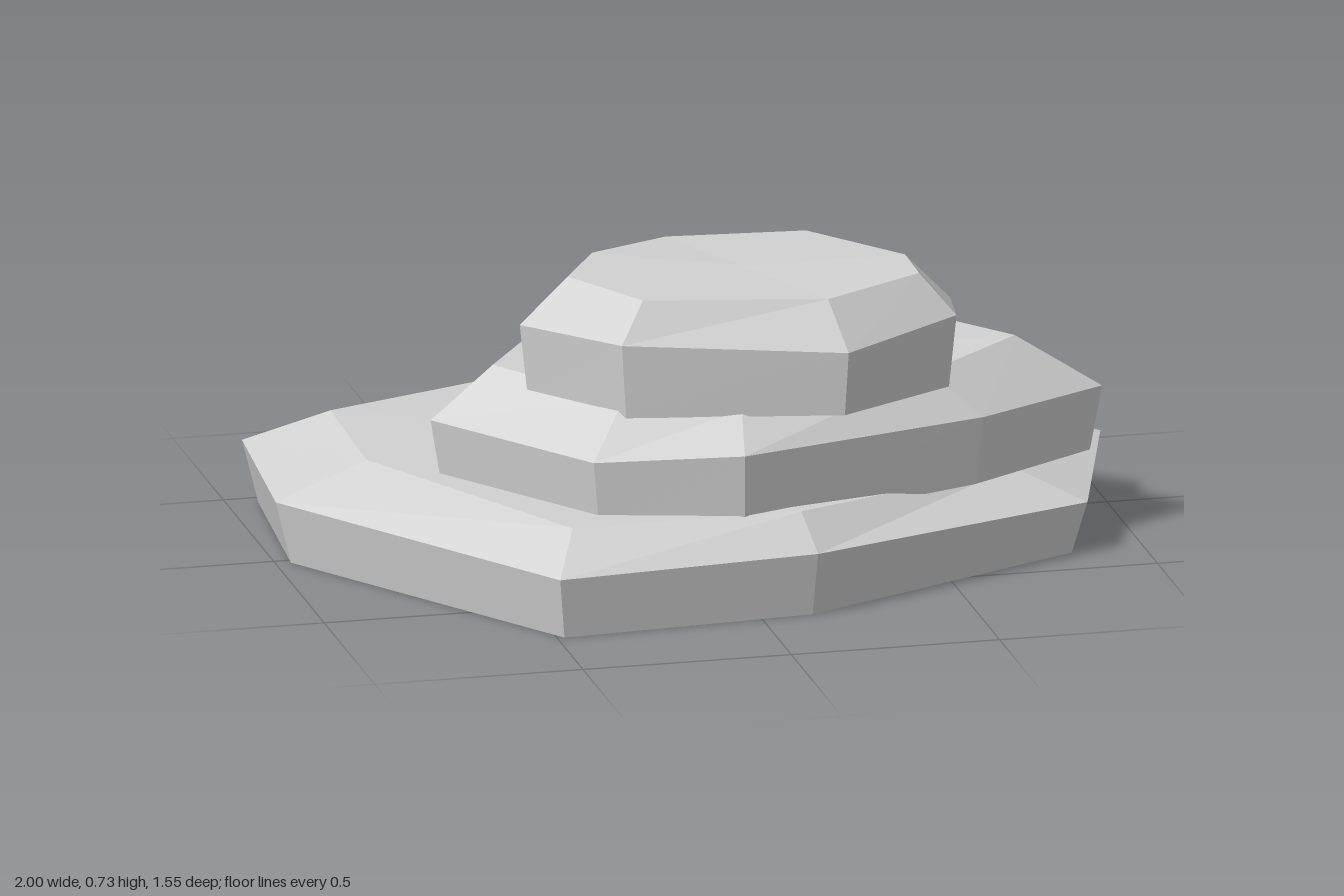
import * as THREE from 'three';

// Each slab: rim points [x, y, z] at the widest line, and the smaller top outline.
const SLABS = [
  {
    name: 'bottomStone', base: 0, inset: 0.962,
    rim: [[-0.25, 0.145, -0.775], [0.37, 0.15, -0.64], [1, 0.155, -0.065], [0.86, 0.125, 0.385],
      [0.13, 0.155, 0.73], [-0.5, 0.15, 0.775], [-1, 0.15, 0.02], [-0.96, 0.15, -0.48]],
    top: [[-0.22, 0.215, -0.65], [0.29, 0.225, -0.53], [0.78, 0.235, -0.05], [0.7, 0.2, 0.31],
      [0.11, 0.235, 0.645], [-0.44, 0.235, 0.65], [-0.78, 0.235, 0.01], [-0.77, 0.235, -0.39]],
  },
  {
    name: 'middleStone', base: 0.2, inset: 0.965,
    rim: [[-0.66, 0.365, 0.15], [-0.39, 0.365, -0.255], [0.26, 0.355, -0.345], [0.6, 0.36, -0.215],
      [0.935, 0.355, 0.22], [0.6, 0.365, 0.43], [-0.03, 0.385, 0.665], [-0.37, 0.365, 0.57]],
    top: [[-0.51, 0.49, 0.15], [-0.29, 0.49, -0.18], [0.23, 0.455, -0.25], [0.49, 0.48, -0.14],
      [0.73, 0.487, 0.2], [0.48, 0.47, 0.38], [-0.01, 0.465, 0.55], [-0.28, 0.48, 0.48]],
  },
  {
    name: 'topStone', base: 0.45, inset: 0.965,
    rim: [[-0.475, 0.62, 0.27], [-0.34, 0.61, 0.09], [-0.08, 0.605, -0.115], [0.33, 0.6, -0.08],
      [0.56, 0.61, 0.26], [0.53, 0.625, 0.45], [0.23, 0.605, 0.62], [-0.29, 0.63, 0.52]],
    top: [[-0.36, 0.73, 0.27], [-0.26, 0.73, 0.1], [-0.05, 0.712, -0.04], [0.28, 0.712, -0.01],
      [0.45, 0.725, 0.27], [0.45, 0.722, 0.41], [0.2, 0.715, 0.54], [-0.23, 0.725, 0.48]],
  },
];

// Joins base, rim and top rings with flat facets and closes both ends.
function slabGeometry({ base, inset, rim, top }) {
  const n = rim.length;
  const mean = (ring) => [0, 1, 2].map((k) => ring.reduce((s, p) => s + p[k], 0) / n);
  const c = mean(rim);
  const foot = rim.map(([x, , z]) => [c[0] + (x - c[0]) * inset, base, c[2] + (z - c[2]) * inset]);
  const footCentre = mean(foot);
  const topCentre = mean(top);
  const pos = [];
  const tri = (...pts) => pts.forEach((p) => pos.push(...p));
  for (let i = 0; i < n; i++) {
    const j = (i + 1) % n;
    for (const [lo, hi] of [[foot, rim], [rim, top]]) {
      tri(lo[j], lo[i], hi[i]);
      tri(lo[j], hi[i], hi[j]);
    }
    tri(topCentre, top[j], top[i]);
    tri(footCentre, foot[i], foot[j]);
  }
  const geo = new THREE.BufferGeometry();
  geo.setAttribute('position', new THREE.Float32BufferAttribute(pos, 3));
  geo.computeVertexNormals();
  return geo;
}

export function createModel() {
  const group = new THREE.Group();
  group.name = 'stackedStones';
  const stone = new THREE.MeshStandardMaterial({ color: 0xd2d2d2 });
  stone.name = 'stone grey';
  for (const slab of SLABS) {
    const mesh = new THREE.Mesh(slabGeometry(slab), stone);
    mesh.name = slab.name;
    group.add(mesh);
  }
  return group;
}
